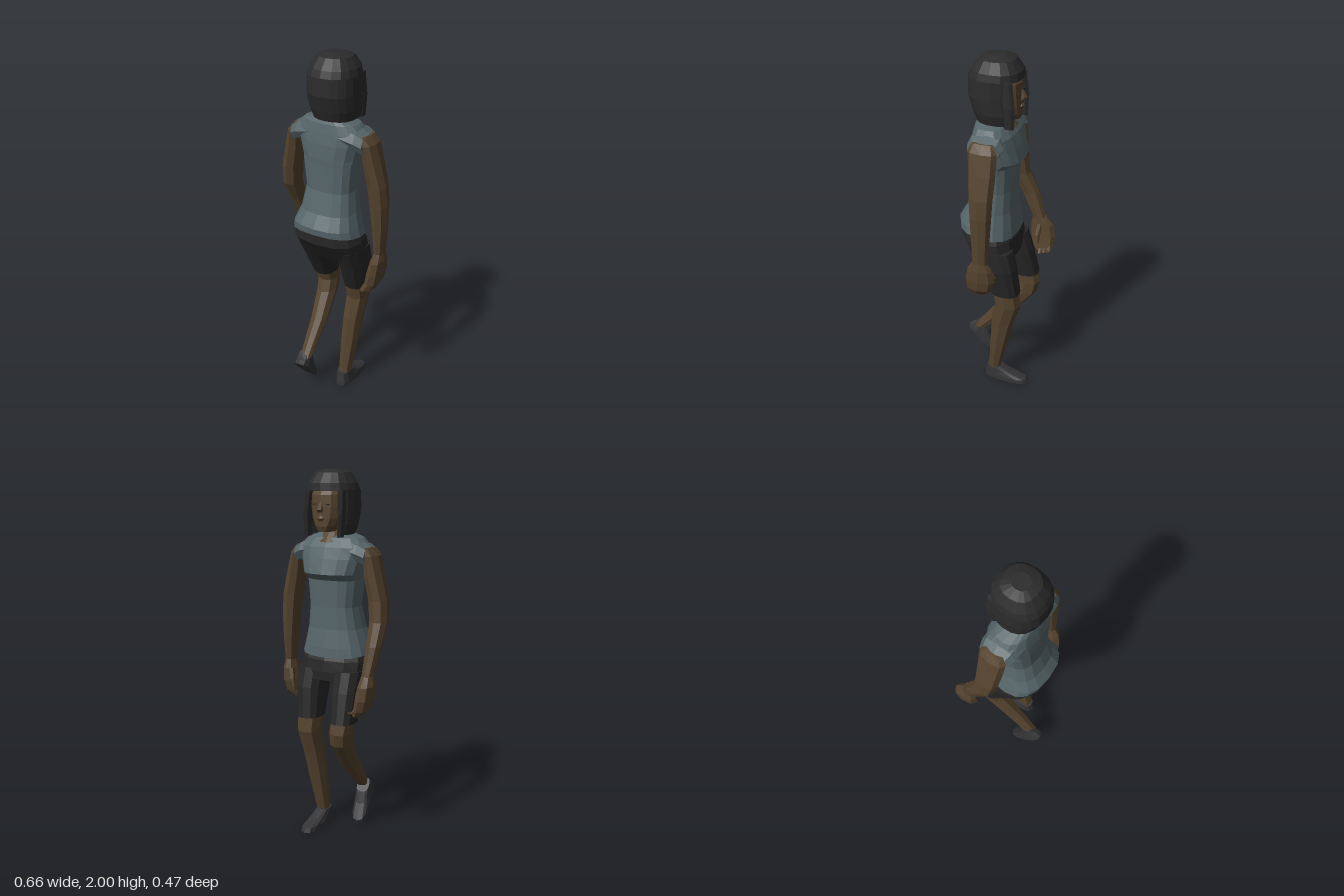
import * as THREE from 'three';

const mat = (name, color) => {
  const m = new THREE.MeshStandardMaterial({ color, side: THREE.DoubleSide });
  m.name = name;
  return m;
};

// Faceted loft through rings listed top to bottom: [x, y, z, rx, rz, tilt]
// tilt raises the +z side, gap opens the -z side, square < 1 makes the rings boxier
function loft(rings, { n = 12, square = 0.85, gap = 0 } = {}) {
  const pow = v => Math.sign(v) * Math.abs(v) ** square;
  const rows = rings.map(([x, y, z, rx, rz, tilt = 0]) =>
    Array.from({ length: n + 1 }, (_, j) => {
      const t = -Math.PI / 2 + gap + (j / n) * (Math.PI * 2 - 2 * gap);
      const dz = rz * pow(Math.sin(t));
      return [x + rx * pow(Math.cos(t)), y + tilt * dz, z + dz];
    }));
  const p = [];
  for (let i = 0; i < rows.length - 1; i++)
    for (let j = 0; j < n; j++) {
      const a = rows[i][j], b = rows[i][j + 1], c = rows[i + 1][j], d = rows[i + 1][j + 1];
      p.push(...a, ...b, ...c, ...b, ...d, ...c);
    }
  if (!gap) {
    const last = rows.length - 1;
    for (let j = 0; j < n; j++) {
      p.push(...rings[0].slice(0, 3), ...rows[0][j + 1], ...rows[0][j]);
      p.push(...rings[last].slice(0, 3), ...rows[last][j], ...rows[last][j + 1]);
    }
  }
  const g = new THREE.BufferGeometry();
  g.setAttribute('position', new THREE.Float32BufferAttribute(p, 3));
  g.computeVertexNormals();
  return g;
}

export function createModel() {
  const model = new THREE.Group();
  model.name = 'walkingWoman';
  const skin = mat('skin', 0x55432e), shirt = mat('shirt', 0x566569);
  const shorts = mat('shorts', 0x262627), hair = mat('hair', 0x2c2b2c), shoe = mat('shoe', 0x343437);
  const add = (name, geo, m, parent = model) => {
    const mesh = new THREE.Mesh(geo, m);
    mesh.name = name;
    parent.add(mesh);
    return mesh;
  };

  // Shirt with a fold under the bust and a flared hem, higher at the back
  add('shirt', loft([
    [0.005, 1.67, 0.03, 0.095, 0.065], [0, 1.648, 0.015, 0.16, 0.09],
    [0, 1.6, 0.005, 0.203, 0.11], [0, 1.54, 0, 0.185, 0.125],
    [0, 1.46, -0.008, 0.162, 0.138], [0, 1.425, 0.013, 0.155, 0.115],
    [0.005, 1.28, 0.017, 0.14, 0.113], [0.003, 1.16, 0.032, 0.158, 0.13],
    [0, 1.075, 0.046, 0.185, 0.158, 0.1], [0, 1.03, 0.042, 0.197, 0.157, 0.15],
  ], { n: 16, square: 0.78 }), shirt);

  // Short cap sleeves, lofted sideways out of the shoulders
  for (const s of [1, -1]) {
    const sleeve = add(s > 0 ? 'leftSleeve' : 'rightSleeve', loft([
      [-s * 1.553, 0.217, 0.005, 0.052, 0.085], [-s * 1.572, 0.175, 0.006, 0.058, 0.098],
      [-s * 1.592, 0.08, 0.012, 0.055, 0.1],
    ], { n: 8 }), shirt);
    sleeve.rotation.z = -s * Math.PI / 2;
  }

  // Shorts: hips and two leg tubes
  add('hips', loft([
    [0, 1.045, 0.042, 0.18, 0.14, 0.1], [0, 0.99, 0.034, 0.199, 0.15],
    [0.002, 0.93, 0.01, 0.201, 0.133], [0.003, 0.88, -0.006, 0.196, 0.115],
  ], { square: 0.78 }), shorts);
  add('leftShortsLeg', loft([
    [0.118, 0.94, 0.004, 0.082, 0.125], [0.121, 0.83, -0.035, 0.08, 0.11], [0.108, 0.66, -0.08, 0.068, 0.083],
  ]), shorts);
  add('rightShortsLeg', loft([
    [-0.115, 0.94, 0, 0.082, 0.125], [-0.117, 0.83, -0.05, 0.08, 0.108], [-0.125, 0.665, -0.115, 0.066, 0.08],
  ]), shorts);

  // Bare legs: left one planted, right one trailing
  add('leftLeg', loft([
    [0.108, 0.67, -0.08, 0.064, 0.079], [0.108, 0.58, -0.095, 0.06, 0.075], [0.1, 0.45, -0.06, 0.054, 0.068],
    [0.092, 0.3, -0.035, 0.05, 0.055], [0.078, 0.07, 0, 0.034, 0.036],
  ], { n: 8 }), skin);
  add('rightLeg', loft([
    [-0.125, 0.68, -0.115, 0.062, 0.074], [-0.12, 0.61, -0.135, 0.058, 0.07], [-0.115, 0.54, -0.115, 0.054, 0.075],
    [-0.1, 0.4, -0.01, 0.047, 0.063], [-0.092, 0.21, 0.155, 0.034, 0.038],
  ], { n: 8 }), skin);

  // Shoes, heel at the local origin
  const shoeGeo = loft([
    [0, 0.082, -0.06, 0.037, 0.045], [0, 0.052, -0.09, 0.041, 0.08],
    [0, 0.025, -0.132, 0.046, 0.13], [0, 0, -0.136, 0.046, 0.136],
  ], { square: 0.7 });
  add('leftShoe', shoeGeo, shoe).position.set(0.075, 0, 0.06);
  const rightShoe = add('rightShoe', shoeGeo, shoe);
  rightShoe.position.set(-0.092, 0.2, 0.235);
  rightShoe.rotation.set(-0.83, 0.15, 0, 'YXZ');

  // Arms: left one hangs, right one swings forward
  const upper = s => [
    [s * 0.213, 1.602, 0.005, 0.012, 0.06], [s * 0.224, 1.56, 0.004, 0.034, 0.078],
    [s * 0.243, 1.45, 0, 0.045, 0.074], [s * 0.27, 1.33, -0.003, 0.048, 0.066],
  ];
  add('leftArm', loft([...upper(1),
    [0.281, 1.22, -0.005, 0.046, 0.06], [0.288, 1.08, -0.005, 0.036, 0.052], [0.291, 0.93, -0.003, 0.024, 0.043],
  ], { n: 8 }), skin);
  add('rightArm', loft([...upper(-1),
    [-0.283, 1.22, -0.02, 0.046, 0.06], [-0.289, 1.1, -0.08, 0.039, 0.052], [-0.283, 0.94, -0.14, 0.029, 0.038],
  ], { n: 8 }), skin);

  // Hands: loose rounded fists
  add('leftHand', loft([
    [0.291, 0.95, -0.003, 0.024, 0.043], [0.287, 0.9, 0, 0.034, 0.07],
    [0.278, 0.83, 0.003, 0.039, 0.082], [0.268, 0.77, 0.012, 0.038, 0.076],
    [0.245, 0.73, 0.028, 0.037, 0.06], [0.23, 0.712, 0.032, 0.025, 0.045],
  ], { n: 8 }), skin);
  add('rightHand', loft([
    [-0.284, 0.95, -0.14, 0.029, 0.04], [-0.288, 0.9, -0.155, 0.038, 0.068],
    [-0.283, 0.83, -0.162, 0.041, 0.077], [-0.268, 0.77, -0.168, 0.036, 0.066],
    [-0.252, 0.742, -0.178, 0.026, 0.045],
  ], { n: 8 }), skin);
  // Curled right fingers and both thumbs
  for (let i = 0; i < 3; i++) {
    const z = -0.165 - i * 0.025;
    add('rightFinger', loft([
      [-0.262, 0.785, z, 0.017, 0.014], [-0.242, 0.758, z, 0.015, 0.013], [-0.218, 0.738 + i * 0.01, z, 0.011, 0.011],
    ], { n: 5 }), skin);
  }
  add('leftThumb', loft([
    [0.27, 0.9, -0.04, 0.018, 0.02], [0.25, 0.84, -0.06, 0.015, 0.018], [0.235, 0.8, -0.065, 0.008, 0.01],
  ], { n: 5 }), skin);
  add('rightThumb', loft([
    [-0.268, 0.91, -0.15, 0.02, 0.018], [-0.235, 0.85, -0.145, 0.016, 0.015], [-0.22, 0.8, -0.15, 0.008, 0.008],
  ], { n: 5 }), skin);

  // Neck with the bare front of the neckline, and head
  add('neck', loft([
    [0.01, 1.76, 0, 0.05, 0.055], [0.005, 1.69, 0.012, 0.05, 0.055], [0, 1.625, -0.01, 0.075, 0.088],
  ]), skin);
  add('head', loft([
    [0.012, 1.93, 0, 0.08, 0.09], [0.012, 1.87, -0.005, 0.1, 0.12], [0.012, 1.81, -0.01, 0.1, 0.118],
    [0.012, 1.75, -0.015, 0.09, 0.115], [0.012, 1.71, -0.04, 0.065, 0.09], [0.012, 1.68, -0.06, 0.038, 0.06],
  ]), skin);

  // Face details
  const face = new THREE.Group();
  face.name = 'face';
  face.position.x = 0.012;
  model.add(face);
  add('nose', loft([
    [0, 1.835, -0.118, 0.008, 0.012], [0, 1.795, -0.13, 0.016, 0.024], [0, 1.78, -0.122, 0.018, 0.016],
  ], { n: 6 }), skin, face);
  add('lips', loft([
    [0, 1.762, -0.122, 0.01, 0.01], [0, 1.75, -0.124, 0.026, 0.016], [0, 1.735, -0.12, 0.012, 0.012],
  ], { n: 6 }), skin, face);
  for (const s of [-1, 1]) {
    const eye = add('eye', new THREE.BoxGeometry(0.026, 0.007, 0.008), hair, face);
    eye.position.set(s * 0.038, 1.822, -0.12);
    eye.rotation.y = s * 0.25;
  }

  // Bobbed hair: crown, side and back curtain open over the face, and front locks
  add('hairCrown', loft([
    [0.012, 2, 0.005, 0.045, 0.045], [0.012, 1.983, 0.002, 0.092, 0.092],
    [0.012, 1.93, 0.002, 0.124, 0.13], [0.012, 1.89, 0.008, 0.134, 0.14],
  ], { n: 16 }), hair);
  add('hairCurtain', loft([
    [0.012, 1.895, 0.008, 0.134, 0.14], [0.012, 1.8, 0.01, 0.136, 0.14],
    [0.012, 1.72, -0.002, 0.132, 0.128], [0.012, 1.664, -0.01, 0.116, 0.115],
  ], { n: 14, gap: 0.8 }), hair);
  for (const s of [-1, 1])
    add('frontLock', loft([
      [0.012 + s * 0.1, 1.895, -0.078, 0.018, 0.032], [0.012 + s * 0.107, 1.77, -0.09, 0.015, 0.035],
      [0.012 + s * 0.1, 1.655, -0.094, 0.013, 0.028],
    ], { n: 6 }), hair);

  return model;
}
